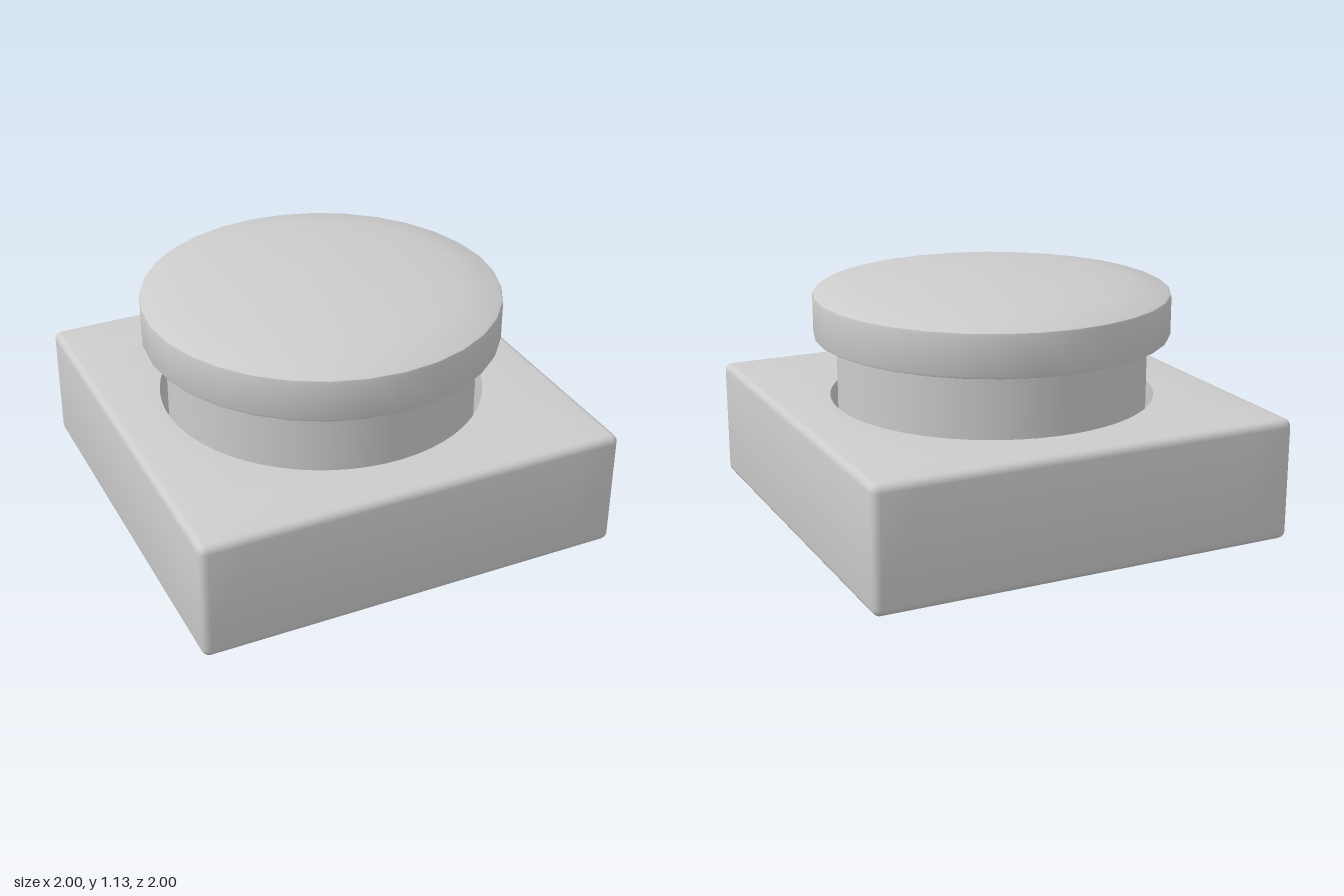
import * as THREE from 'three';
import { toCreasedNormals } from 'three/addons/utils/BufferGeometryUtils.js';

const BASE_H = 0.565, BEVEL = 0.035, HOLE_R = 0.755, HOLE_FLOOR = 0.25;
const CORNER_STEPS = 4, SIDE_STEPS = 11;

// Square outline with rounded corners, starting at the +x+z corner
function squareRing(y, radius) {
  const points = [], c = 1 - BEVEL;
  const corners = [[1, 1], [-1, 1], [-1, -1], [1, -1]];
  corners.forEach(([sx, sz], k) => {
    for (let i = 0; i <= CORNER_STEPS; i++) {
      const a = (k + i / CORNER_STEPS) * Math.PI / 2;
      points.push(new THREE.Vector3(sx * c + radius * Math.cos(a), y, sz * c + radius * Math.sin(a)));
    }
    const [nx, nz] = corners[(k + 1) % 4], last = points[points.length - 1];
    const end = (k + 1) * Math.PI / 2;
    const next = new THREE.Vector3(nx * c + radius * Math.cos(end), y, nz * c + radius * Math.sin(end));
    for (let i = 1; i < SIDE_STEPS; i++) points.push(last.clone().lerp(next, i / SIDE_STEPS));
  });
  return points;
}

// Circle whose points line up with those of the square outline
function circleRing(y, radius) {
  const n = 4 * (CORNER_STEPS + SIDE_STEPS);
  return Array.from({ length: n }, (_, i) => {
    const a = Math.PI / 4 + (i - CORNER_STEPS / 2) / n * Math.PI * 2;
    return new THREE.Vector3(radius * Math.cos(a), y, radius * Math.sin(a));
  });
}

// Skin successive rings, facing outward when they run from bottom to top
function loft(rings) {
  const n = rings[0].length, index = [];
  for (let r = 0; r < rings.length - 1; r++) {
    for (let i = 0; i < n; i++) {
      const j = (i + 1) % n, a = r * n, b = a + n;
      index.push(a + i, b + i, a + j, a + j, b + i, b + j);
    }
  }
  const geometry = new THREE.BufferGeometry().setFromPoints(rings.flat());
  geometry.setIndex(index);
  return toCreasedNormals(geometry, Math.PI / 4);
}

function lathe(profile) {
  const points = profile.map(([r, y]) => new THREE.Vector2(r, y));
  const geometry = new THREE.LatheGeometry(points, 32);
  return toCreasedNormals(geometry, Math.PI / 4);
}

export function createModel() {
  const model = new THREE.Group();
  const material = new THREE.MeshStandardMaterial({ color: 0xcccccc });
  const add = (name, geometry) => {
    const mesh = new THREE.Mesh(geometry, material);
    mesh.name = name;
    model.add(mesh);
  };

  // Square base with softened edges and a round socket in its top
  const rings = [circleRing(0, 0)];
  for (const [level, from] of [[BEVEL, -Math.PI / 2], [BASE_H - BEVEL, 0]]) {
    for (let i = 0; i <= 4; i++) {
      const a = from + i / 4 * Math.PI / 2;
      rings.push(squareRing(level + BEVEL * Math.sin(a), BEVEL * Math.cos(a)));
    }
  }
  rings.push(circleRing(BASE_H, HOLE_R), circleRing(HOLE_FLOOR, HOLE_R), circleRing(HOLE_FLOOR, 0));
  add('base', loft(rings));

  // Plunger standing in the socket
  const stem = new THREE.CylinderGeometry(0.72, 0.72, 0.62, 32);
  stem.translate(0, HOLE_FLOOR + 0.31, 0);
  add('plunger', stem);

  // Domed push cap
  add('cap', lathe([
    [0, 0.85], [0.81, 0.85], [0.821, 0.854], [0.825, 0.865],
    [0.825, 1.035], [0.822, 1.047], [0.81, 1.054],
    [0.65, 1.088], [0.48, 1.109], [0.31, 1.123], [0.15, 1.132], [0, 1.135],
  ]));

  return model;
}
